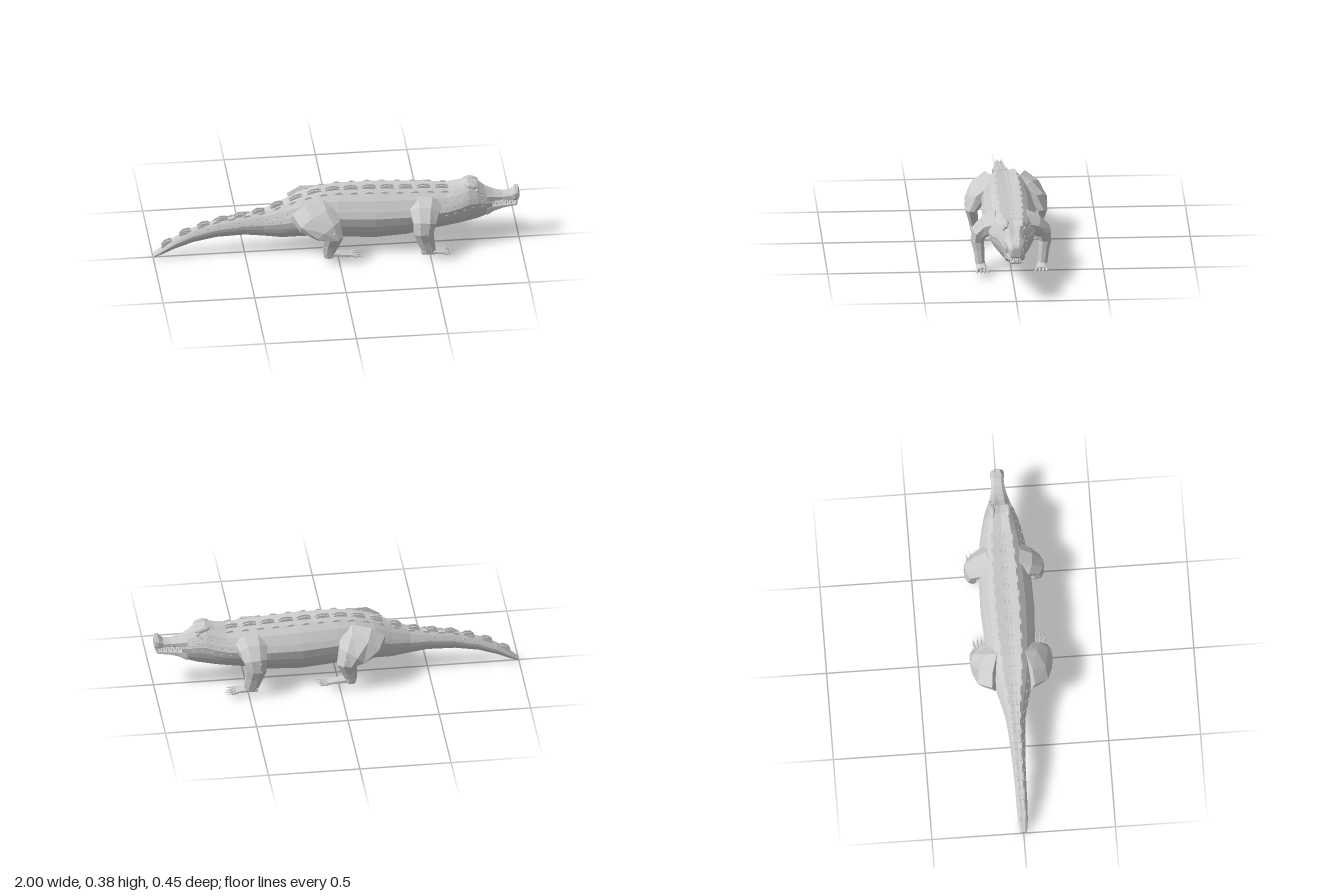
import * as THREE from 'three';

const mat = new THREE.MeshStandardMaterial({ color: 0xcccccc, flatShading: true, side: THREE.DoubleSide });
const V = (x, y, z) => new THREE.Vector3(x, y, z);

// Skin rings of points (equal counts) into a capped, faceted surface
function loft(rings) {
  const n = rings[0].length, pos = [];
  const tri = (...p) => p.forEach(q => pos.push(q.x, q.y, q.z));
  for (let i = 0; i < rings.length - 1; i++) for (let j = 0; j < n; j++) {
    const k = (j + 1) % n, A = rings[i], B = rings[i + 1];
    tri(A[j], A[k], B[j]);
    tri(A[k], B[k], B[j]);
  }
  const mid = r => r.reduce((s, p) => s.add(p), V(0, 0, 0)).divideScalar(n);
  const first = rings[0], last = rings[rings.length - 1], a = mid(first), b = mid(last);
  for (let j = 0; j < n; j++) {
    const k = (j + 1) % n;
    tri(a, first[k], first[j]);
    tri(b, last[j], last[k]);
  }
  const g = new THREE.BufferGeometry();
  g.setAttribute('position', new THREE.Float32BufferAttribute(pos, 3));
  g.computeVertexNormals();
  return g;
}

// Limb through stations [x, y, z, radius along ref, radius across]
function limb(stations, side, ref, sides = 8) {
  const c = stations.map(s => V(s[0], s[1], s[2] * side));
  return loft(stations.map((s, i) => {
    const t = c[Math.min(i + 1, c.length - 1)].clone().sub(c[Math.max(i - 1, 0)]).normalize();
    const u = ref.clone().addScaledVector(t, -ref.dot(t)).normalize();
    const v = t.clone().cross(u);
    return Array.from({ length: sides }, (_, j) => {
      const a = (j + 0.5) / sides * Math.PI * 2;
      return c[i].clone().addScaledVector(u, s[3] * Math.cos(a)).addScaledVector(v, s[4] * Math.sin(a));
    });
  }));
}

// Body stations: x, top, bottom, half width
const BODY = [
  [-1, 0.018, 0, 0.018], [-0.95, 0.062, 0.022, 0.026], [-0.88, 0.115, 0.055, 0.03],
  [-0.78, 0.165, 0.09, 0.031], [-0.65, 0.205, 0.115, 0.036], [-0.5, 0.232, 0.122, 0.045],
  [-0.4, 0.252, 0.112, 0.055], [-0.3, 0.292, 0.103, 0.08], [-0.2, 0.335, 0.112, 0.11],
  [-0.1, 0.362, 0.115, 0.125], [0, 0.37, 0.105, 0.135], [0.2, 0.366, 0.09, 0.147],
  [0.38, 0.356, 0.098, 0.143], [0.5, 0.35, 0.12, 0.135], [0.6, 0.342, 0.132, 0.122],
  [0.67, 0.355, 0.14, 0.108], [0.72, 0.372, 0.148, 0.095], [0.77, 0.358, 0.155, 0.08],
  [0.81, 0.325, 0.165, 0.064], [0.85, 0.302, 0.185, 0.05],
];
// Half cross-section: width fraction, height fraction
const SECTION = [[0, 0.97], [0.42, 1], [0.68, 0.87], [0.9, 0.68], [1, 0.55], [0.93, 0.36], [0.8, 0.2], [0.5, 0], [0, 0]];

function bodyAt(x) {
  let i = 0;
  while (i < BODY.length - 2 && BODY[i + 1][0] < x) i++;
  const A = BODY[i], B = BODY[i + 1], t = (x - A[0]) / (B[0] - A[0]);
  return { p: A.map((a, k) => a + (B[k] - a) * t), slope: (B[1] - A[1]) / (B[0] - A[0]) };
}
// Point on the skin at x, along row r of the cross-section (fractional)
function skin(x, r) {
  const [, top, bot, w] = bodyAt(x).p;
  const i = Math.min(Math.floor(r), SECTION.length - 2), f = r - i;
  const s = SECTION[i].map((a, k) => a + (SECTION[i + 1][k] - a) * f);
  return V(x, bot + (top - bot) * s[1], w * s[0]);
}
function ring(x) {
  const half = SECTION.map((_, r) => skin(x, r));
  return [...half, ...half.slice(1, -1).reverse().map(p => V(p.x, p.y, -p.z))];
}

// Octagonal jaw through stations x, top, bottom, half width
const jaw = st => loft(st.map(([x, t, b, w]) => [
  [t, 0.55], [t * 0.65 + b * 0.35, 1], [t * 0.2 + b * 0.8, 1], [b, 0.7],
  [b, -0.7], [t * 0.2 + b * 0.8, -1], [t * 0.65 + b * 0.35, -1], [t, -0.55],
].map(([y, z]) => V(x, y, z * w))));

export function createModel() {
  const model = new THREE.Group();
  model.name = 'crocodile';
  const add = (geo, name, parent = model) => {
    const m = new THREE.Mesh(geo, mat);
    m.name = name;
    parent.add(m);
    return m;
  };
  const group = name => {
    const g = new THREE.Group();
    g.name = name;
    model.add(g);
    return g;
  };

  add(loft(BODY.map(b => ring(b[0]))), 'body');

  // Jaws with a raised nose at the tip
  add(jaw([[0.82, 0.315, 0.245, 0.056], [0.86, 0.298, 0.25, 0.045], [0.91, 0.287, 0.252, 0.036],
    [0.95, 0.29, 0.25, 0.034], [0.975, 0.314, 0.246, 0.038], [0.993, 0.318, 0.248, 0.035], [1, 0.305, 0.256, 0.025]]), 'upperJaw');
  add(jaw([[0.82, 0.245, 0.168, 0.056], [0.86, 0.238, 0.188, 0.044], [0.91, 0.232, 0.2, 0.034],
    [0.95, 0.23, 0.206, 0.031], [0.98, 0.23, 0.21, 0.029], [0.99, 0.226, 0.216, 0.02]]), 'lowerJaw');

  // Teeth, alternating upper and lower, along the sides and across the tip
  const teeth = group('teeth'), toothGeo = new THREE.ConeGeometry(0.005, 0.026, 4);
  const tooth = (x, z, up) => {
    const m = add(toothGeo, up ? 'lowerTooth' : 'upperTooth', teeth);
    m.position.set(x, up ? 0.24 : 0.241, z);
    if (!up) m.rotation.x = Math.PI;
  };
  for (let i = 0; i < 10; i++) for (const s of [1, -1]) {
    const x = 0.86 + i * 0.0135;
    tooth(x, s * (0.037 - Math.min(i, 5) * 0.002), i % 2 === 1);
  }
  for (let i = -2; i <= 2; i++) tooth(0.988, i * 0.01, i % 2 !== 0);

  // Brows, eyes and nostrils
  for (const s of [1, -1]) {
    const brow = add(new THREE.SphereGeometry(1, 7, 5), 'brow');
    brow.scale.set(0.045, 0.02, 0.018);
    brow.position.set(0.74, 0.355, s * 0.042);
    brow.rotation.z = -0.25;
    const eye = add(new THREE.SphereGeometry(0.012, 6, 4), 'eye');
    eye.position.set(0.765, 0.336, s * 0.055);
    const nostril = add(new THREE.ConeGeometry(0.008, 0.012, 5), 'nostril');
    nostril.position.set(0.98, 0.319, s * 0.015);
  }

  // Back and tail scutes: long low fins in paired rows
  const fin = new THREE.Shape([[-0.5, -0.4], [-0.4, 0.55], [-0.1, 1], [0.25, 0.7], [0.5, -0.4]].map(p => new THREE.Vector2(...p)));
  const finGeo = new THREE.ExtrudeGeometry(fin, { depth: 1, bevelEnabled: false }).translate(0, 0, -0.5);
  const scutes = group('scutes');
  const scute = (x, z, y, len, h, w) => {
    const m = add(finGeo, 'scute', scutes);
    m.scale.set(len, h, w);
    m.position.set(x, y, z);
    m.rotation.z = Math.atan(bodyAt(x).slope);
  };
  for (const s of [1, -1]) {
    for (let i = 0; i < 16; i++) {
      const x = -0.92 + i * 0.1, tail = x < -0.3;
      scute(x, s * 0.011, bodyAt(x).p[1] - 0.003, 0.085, tail ? 0.023 : 0.013, 0.008);
    }
    for (let i = 0; i < 18; i++) {
      const x = -0.82 + i * 0.083, p = skin(x, 1.1);
      scute(x, s * p.z, p.y, 0.045, 0.008, 0.008);
    }
  }

  // Flank scales: small studs in staggered rows
  const studs = group('flankScales'), studGeo = new THREE.ConeGeometry(0.009, 0.009, 4);
  const stud = (x, r, s) => {
    const p = skin(x, r), d = skin(x, r + 0.1).sub(skin(x, r - 0.1));
    const m = add(studGeo, 'scale', studs);
    m.position.set(p.x, p.y, p.z * s);
    m.quaternion.setFromUnitVectors(V(0, 1, 0), V(0, d.z, -d.y * s).normalize());
    m.scale.set(1.6, 1, 0.8);
  };
  for (const s of [1, -1]) {
    for (let i = 0; i < 11; i++) for (const r of [2.5, 3.5]) stud(-0.75 + i * 0.053 + (r - 2.5) * 0.02, r, s);
    for (let i = 0; i < 5; i++) for (const r of [2.5, 3.4, 4.5]) stud(0.58 + i * 0.05 + (r % 1) * 0.02, r, s);
  }

  // Legs and clawed feet
  const X = V(1, 0, 0), Z = V(0, 0, 1);
  const hind = [[-0.13, 0.27, 0.07, 0.14, 0.08], [-0.11, 0.25, 0.13, 0.125, 0.065], [-0.06, 0.205, 0.175, 0.085, 0.052],
    [-0.035, 0.165, 0.19, 0.058, 0.036], [-0.05, 0.115, 0.18, 0.045, 0.029], [-0.058, 0.072, 0.175, 0.034, 0.025], [-0.055, 0.042, 0.172, 0.03, 0.024]];
  const front = [[0.48, 0.27, 0.07, 0.1, 0.07], [0.47, 0.255, 0.13, 0.085, 0.055], [0.465, 0.215, 0.175, 0.066, 0.045],
    [0.46, 0.165, 0.183, 0.058, 0.038], [0.472, 0.11, 0.175, 0.05, 0.031], [0.485, 0.065, 0.172, 0.043, 0.028], [0.49, 0.035, 0.168, 0.04, 0.027]];
  const clawGeo = new THREE.ConeGeometry(0.006, 0.045, 5).rotateZ(-Math.PI / 2);
  const leg = (name, st, heel, ground, len, s) => {
    const g = group(name);
    add(limb(st, s, X), 'limb', g);
    add(limb([[heel, ground + 0.022, 0.172, 0.02, 0.018], [heel + len * 0.35, ground + 0.018, 0.166, 0.028, 0.018],
      [heel + len * 0.7, ground + 0.012, 0.16, 0.034, 0.011]], s, Z), 'foot', g);
    for (let i = 0; i < 4; i++) {
      const f = i - 1.5, z = 0.16 + f * 0.017, x = heel + len * 0.68, reach = len * (0.22 - Math.abs(f) * 0.03);
      add(limb([[x, ground + 0.012, z, 0.009, 0.01], [x + reach, ground + 0.008, z + f * 0.004, 0.006, 0.007]], s, Z, 5), 'toe', g);
      const claw = add(clawGeo, 'claw', g);
      claw.position.set(x + reach + 0.008, ground + 0.008, (z + f * 0.005) * s);
    }
    // Knobbly scales down the outer side
    for (let i = 2; i < 6; i++) for (const dx of [-0.4, 0.35]) {
      const [x, y, z, r, w] = st[i];
      const k = add(studGeo, 'scale', g);
      k.position.set(x + dx * r, y, (z + w * 0.88) * s);
      k.rotation.x = s * Math.PI / 2;
    }
  };
  for (const [s, side] of [[1, 'Near'], [-1, 'Far']]) {
    leg('hindLeg' + side, hind, -0.08, 0.036, 0.21, s);
    leg('frontLeg' + side, front, 0.45, 0.02, 0.17, s);
  }
  return model;
}
